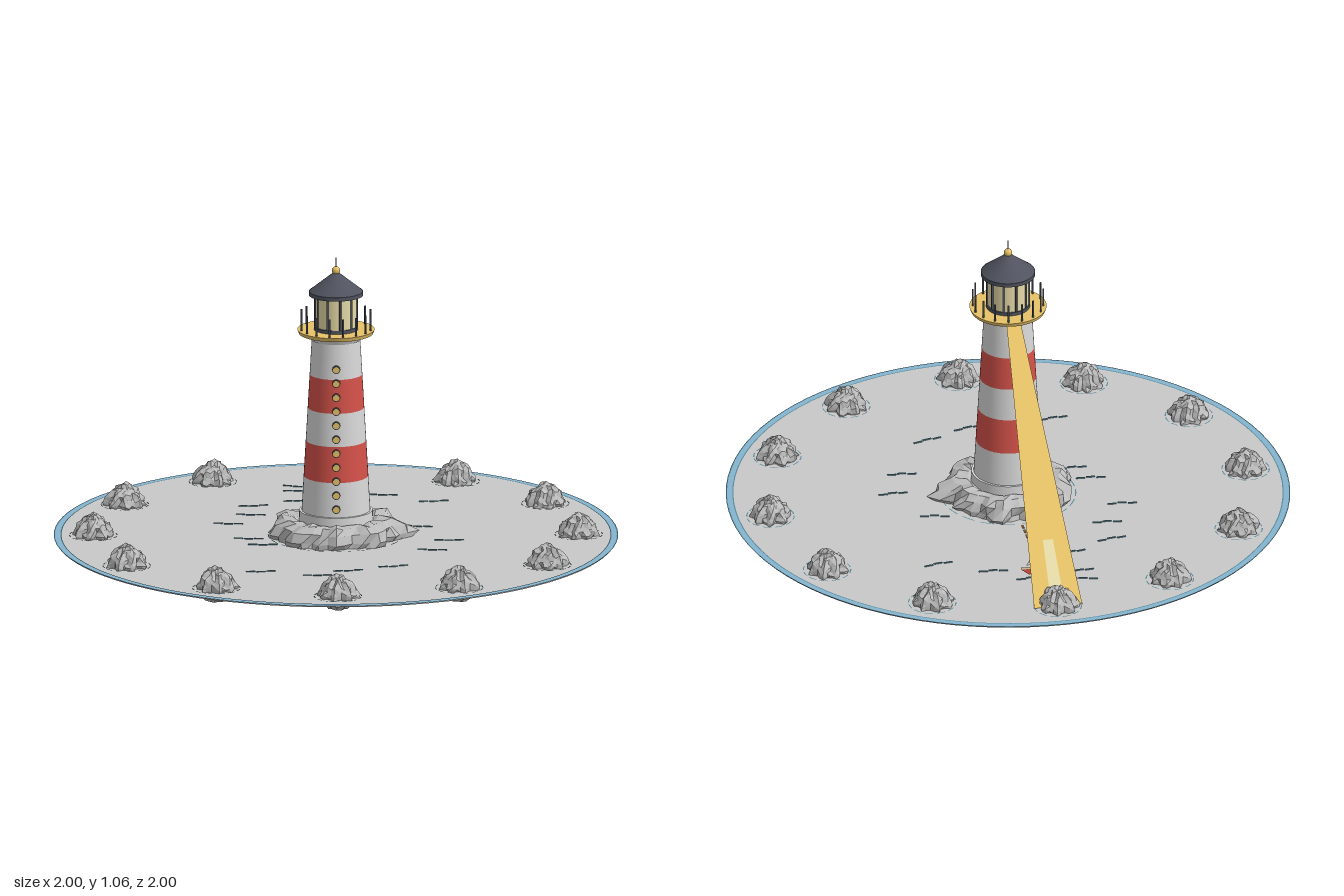
import * as THREE from 'three';

const mat = (name, color, double = false) => {
  const m = new THREE.MeshStandardMaterial({ color });
  m.name = name;
  if (double) m.side = THREE.DoubleSide;
  return m;
};

const SEA_Y = 0.045;

// Repeatable noise in -1..1 from a position, so shared corners stay joined
function noise(x, y, z, seed) {
  const r = (v) => Math.round(v * 500);
  const s = Math.sin(r(x) * 12.9898 + r(y) * 78.233 + r(z) * 37.719 + seed * 4.13) * 43758.5453;
  return (s - Math.floor(s)) * 2 - 1;
}

// Move every vertex by a rule and give the result flat faces
function reshape(geometry, rule) {
  const g = geometry.index ? geometry.toNonIndexed() : geometry;
  const p = g.attributes.position;
  const v = new THREE.Vector3();
  for (let i = 0; i < p.count; i++) {
    rule(v.fromBufferAttribute(p, i));
    p.setXYZ(i, v.x, v.y, v.z);
  }
  g.computeVertexNormals();
  return g;
}

// Flat polygon from 3D corners, fanned from the first one
function polygon(...corners) {
  const g = new THREE.BufferGeometry();
  g.setFromPoints(corners.map((c) => new THREE.Vector3(...c)));
  const index = [];
  for (let i = 1; i < corners.length - 1; i++) index.push(0, i, i + 1);
  g.setIndex(index);
  g.computeVertexNormals();
  return g;
}

export function createModel() {
  const sea = mat('seaGrey', 0xc8c8c8);
  const rock = mat('rockGrey', 0xbcbcbc);
  const white = mat('towerWhite', 0xd9d9d9, true);
  const red = mat('stripeRed', 0xd5524a, true);
  const yellow = mat('lampYellow', 0xf2cb6c, true);
  const dark = mat('roofDark', 0x50535f);
  const glass = mat('paleGlass', 0xe8dca8, true);
  const blue = mat('rimBlue', 0x86b4cf);
  const teal = mat('waveTeal', 0x55889a);
  const timber = mat('timberBrown', 0xb5713f, true);

  const model = new THREE.Group();
  const group = (name, parent = model) => {
    const g = new THREE.Group();
    g.name = name;
    parent.add(g);
    return g;
  };
  const add = (name, geometry, material, x = 0, y = 0, z = 0, parent = model) => {
    const m = new THREE.Mesh(geometry, material);
    m.name = name;
    m.position.set(x, y, z);
    parent.add(m);
    return m;
  };
  const drum = (rTop, rBottom, h, n = 48) => new THREE.CylinderGeometry(rTop, rBottom, h, n);
  const flatRing = (r0, r1, n, start, length) =>
    new THREE.RingGeometry(r0, r1, n, 1, start, length).rotateX(-Math.PI / 2);

  // Sea disc and its rim
  add('sea', drum(0.995, 0.995, 0.004, 96), sea, 0, SEA_Y - 0.002);
  add('seaRim', flatRing(0.977, 0.996, 96), blue, 0, SEA_Y + 0.002);
  add('rimInnerLine', flatRing(0.973, 0.977, 96), teal, 0, SEA_Y + 0.002);
  add('rimOuterLine', flatRing(0.995, 1, 96), teal, 0, SEA_Y + 0.002);

  // Dashed foam circle
  const foam = (x, z, r, dashes, parent) => {
    for (let i = 0; i < dashes; i++) {
      const step = (Math.PI * 2) / dashes;
      add('foamDash', flatRing(r - 0.002, r + 0.002, 4, i * step, step * 0.68),
        teal, x, SEA_Y + 0.002, z, parent);
    }
  };

  // Twelve ridged rocks around the edge
  const rocks = group('rocks');
  for (let i = 0; i < 12; i++) {
    const a = (i * Math.PI) / 6;
    const x = 0.86 * Math.sin(a), z = 0.86 * Math.cos(a);
    const shape = reshape(new THREE.IcosahedronGeometry(1, 4), (v) => {
      const n = noise(v.x, v.y, v.z, 1);
      const ridge = 1 + 0.13 * Math.sin(8 * Math.atan2(v.z, v.x) + 2 * v.y) + 0.11 * n;
      const taper = v.y > 0 ? 1 - 0.3 * v.y : 1 + 0.1 * v.y;
      v.set(v.x * 0.068 * ridge * taper,
        v.y > 0 ? 0.055 + v.y * 0.068 * (1 + 0.12 * n) : 0.055 + Math.max(v.y, -0.9) * 0.06,
        v.z * 0.068 * ridge * taper);
    });
    add('rock', shape, rock, x, 0, z, rocks).rotation.y = a;
    foam(x, z, 0.084, 12, rocks);
  }

  // Rugged island ring with one pointed spur
  const ring = new THREE.TorusGeometry(0.165, 0.06, 10, 44).rotateX(Math.PI / 2);
  add('island', reshape(ring, (v) => {
    const a = Math.atan2(v.z, v.x);
    const out = Math.hypot(v.x, v.z) / 0.225;
    const n = noise(v.x, v.y, v.z, 2);
    const spur = 0.3 * Math.max(0, 1 - Math.abs(a) / 0.25) * Math.max(0, out - 0.75) / 0.25;
    const k = 1 + out * (0.08 * n + 0.05 * Math.sin(9 * a)) + spur;
    v.set(v.x * k, 0.063 + v.y * (0.92 + 0.14 * n) * (1 - spur), v.z * k);
    v.y = Math.max(v.y, 0.004);
  }), rock);
  foam(0, 0, 0.24, 20, model);

  // Tapered tower in bands
  const tower = group('tower');
  const radiusAt = (y) => 0.122 - ((y - 0.135) / 0.63) * 0.036;
  const bands = [0.135, 0.265, 0.395, 0.515, 0.637, 0.765];
  for (let i = 0; i < 5; i++) {
    const [y0, y1] = [bands[i], bands[i + 1]];
    add(i % 2 ? 'redBand' : 'whiteBand', drum(radiusAt(y1), radiusAt(y0), y1 - y0),
      i % 2 ? red : white, 0, (y0 + y1) / 2, 0, tower);
  }
  add('towerFoot', drum(0.13, 0.132, 0.06), white, 0, 0.11, 0, tower);
  add('collar', drum(0.1, 0.09, 0.022), white, 0, 0.775, 0, tower);

  // Column of round windows up the front
  for (let i = 0; i < 11; i++) {
    const y = 0.17 + i * 0.0505;
    const z = radiusAt(y);
    add('windowFrame', drum(0.0145, 0.0145, 0.014, 16).rotateX(Math.PI / 2), dark, 0, y, z, tower);
    add('windowPane', drum(0.0115, 0.0115, 0.006, 16).rotateX(Math.PI / 2), yellow, 0, y, z + 0.006, tower);
  }

  // Gallery with railing posts
  const gallery = group('gallery');
  add('galleryFloor', drum(0.137, 0.132, 0.014), yellow, 0, 0.793, 0, gallery);
  for (let i = 0; i < 16; i++) {
    const a = ((i + 0.5) * Math.PI) / 8;
    add('railPost', drum(0.0035, 0.0035, 0.066, 8), dark,
      0.125 * Math.sin(a), 0.833, 0.125 * Math.cos(a), gallery);
  }

  // Lantern room, roof and finial
  const lantern = group('lantern');
  add('lanternGlass', drum(0.073, 0.073, 0.13), glass, 0, 0.862, 0, lantern);
  add('lanternSill', drum(0.078, 0.078, 0.012), dark, 0, 0.806, 0, lantern);
  for (let i = 0; i < 10; i++) {
    const a = (i * Math.PI) / 5 + 0.2;
    add('glazingBar', drum(0.004, 0.004, 0.125, 8), dark,
      0.074 * Math.sin(a), 0.865, 0.074 * Math.cos(a), lantern);
  }
  add('eave', drum(0.096, 0.096, 0.014), dark, 0, 0.932, 0, lantern);
  add('roof', drum(0.012, 0.095, 0.066), dark, 0, 0.972, 0, lantern);
  add('finialBall', new THREE.SphereGeometry(0.015, 20, 14), yellow, 0, 1.014, 0, lantern);
  add('finialSpike', drum(0.0015, 0.003, 0.04, 8), dark, 0, 1.042, 0, lantern);

  // Flat light beam from the lamp down to the water
  add('lightBeam', polygon([-0.018, 0.87, 0], [0.018, 0.87, 0],
    [0.087, 0.05, -0.87], [-0.087, 0.05, -0.87]), yellow);
  const beamY = (z) => 0.873 + z * 0.9425;
  add('beamGlow', polygon([-0.018, beamY(-0.69), -0.69], [0.018, beamY(-0.69), -0.69],
    [0.023, beamY(-0.83), -0.83], [-0.023, beamY(-0.83), -0.83]), glass);

  // Flat sailing boat behind the tower
  const boat = group('boat');
  boat.position.z = -0.65;
  add('hull', polygon([-0.06, 0.068, 0], [0.06, 0.068, 0], [0.088, 0.09, 0], [-0.088, 0.09, 0]), red, 0, 0, 0, boat);
  add('deck', polygon([-0.088, 0.09, 0], [0.088, 0.09, 0], [0.09, 0.098, 0], [-0.09, 0.098, 0]), glass, 0, 0, 0, boat);
  add('mast', polygon([-0.003, 0.098, 0], [0.003, 0.098, 0], [0.003, 0.225, 0], [-0.003, 0.225, 0]), timber, 0, 0, 0, boat);
  add('mainSail', polygon([0.006, 0.105, 0], [0.07, 0.105, 0], [0.006, 0.215, 0]), white, 0, 0, 0, boat);
  add('foreSail', polygon([-0.05, 0.105, 0], [-0.006, 0.105, 0], [-0.006, 0.2, 0]), glass, 0, 0, 0, boat);

  // Dashed course from the island to the boat
  for (let z = -0.26; z > -0.64; z -= 0.036) {
    add('courseDash', new THREE.BoxGeometry(0.007, 0.003, 0.02), timber, 0, SEA_Y + 0.002, z);
  }

  // Wave strokes: x, z, slope
  const waves = [
    [-0.13, -0.48, 0.2], [-0.29, -0.41, 0.15], [-0.3, -0.285, -0.1], [-0.38, -0.16, -0.1],
    [-0.31, 0.05, -0.1], [-0.26, 0.135, 0], [-0.27, 0.51, 0.1], [-0.07, 0.565, 0],
    [0.04, 0.5, 0.2], [0.2, 0.44, 0.25], [0.34, 0.21, -0.1], [0.4, 0.075, 0],
    [0.29, -0.12, -0.2], [0.35, -0.47, 0.15], [0.17, -0.56, -0.1],
    [-0.13, -0.68, -0.2], [-0.13, -0.62, 0.1], [0.05, -0.64, 0],
  ];
  const waveGroup = group('waves');
  for (const [x, z, slope] of waves) {
    for (const k of [-1, 0, 1]) {
      const dash = add('waveDash', new THREE.BoxGeometry(0.032, 0.003, 0.006), teal,
        x + k * 0.036, SEA_Y + 0.002, z - k * 0.036 * slope + (k ? 0 : 0.006), waveGroup);
      dash.rotation.y = slope;
    }
  }
  return model;
}
